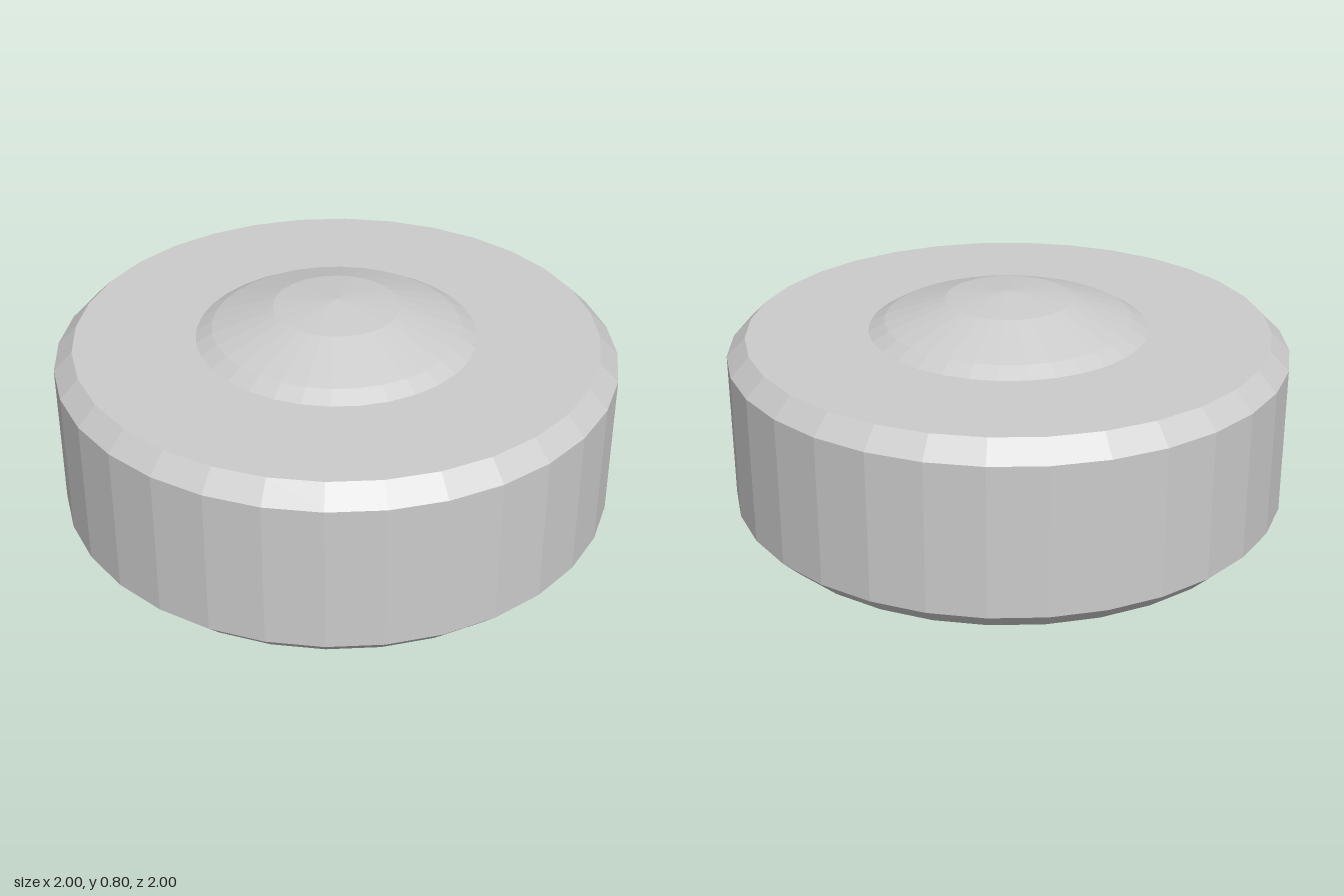
import * as THREE from 'three';

const SIDES = 32;

// Faceted solid of revolution from [radius, height] pairs, listed bottom to top
function turned(name, profile, material) {
  const points = profile.map(([r, y]) => new THREE.Vector2(r, y));
  const mesh = new THREE.Mesh(new THREE.LatheGeometry(points, SIDES), material);
  mesh.name = name;
  return mesh;
}

export function createModel() {
  const group = new THREE.Group();
  group.name = 'domedDisc';
  const material = new THREE.MeshStandardMaterial({ color: 0xcccccc, flatShading: true });

  const radius = 1, height = 0.667, bevel = 0.067;

  // Thick disc with bevelled top and bottom rims
  group.add(turned('body', [
    [0, 0],
    [radius - bevel, 0],
    [radius, bevel],
    [radius, height - bevel],
    [radius - bevel, height],
    [0, height],
  ], material));

  // Shallow dome rising from the middle of the top
  group.add(turned('dome', [
    [0.5, height],
    [0.443, 0.7],
    [0.225, 0.775],
    [0, 0.8],
  ], material));

  return group;
}
